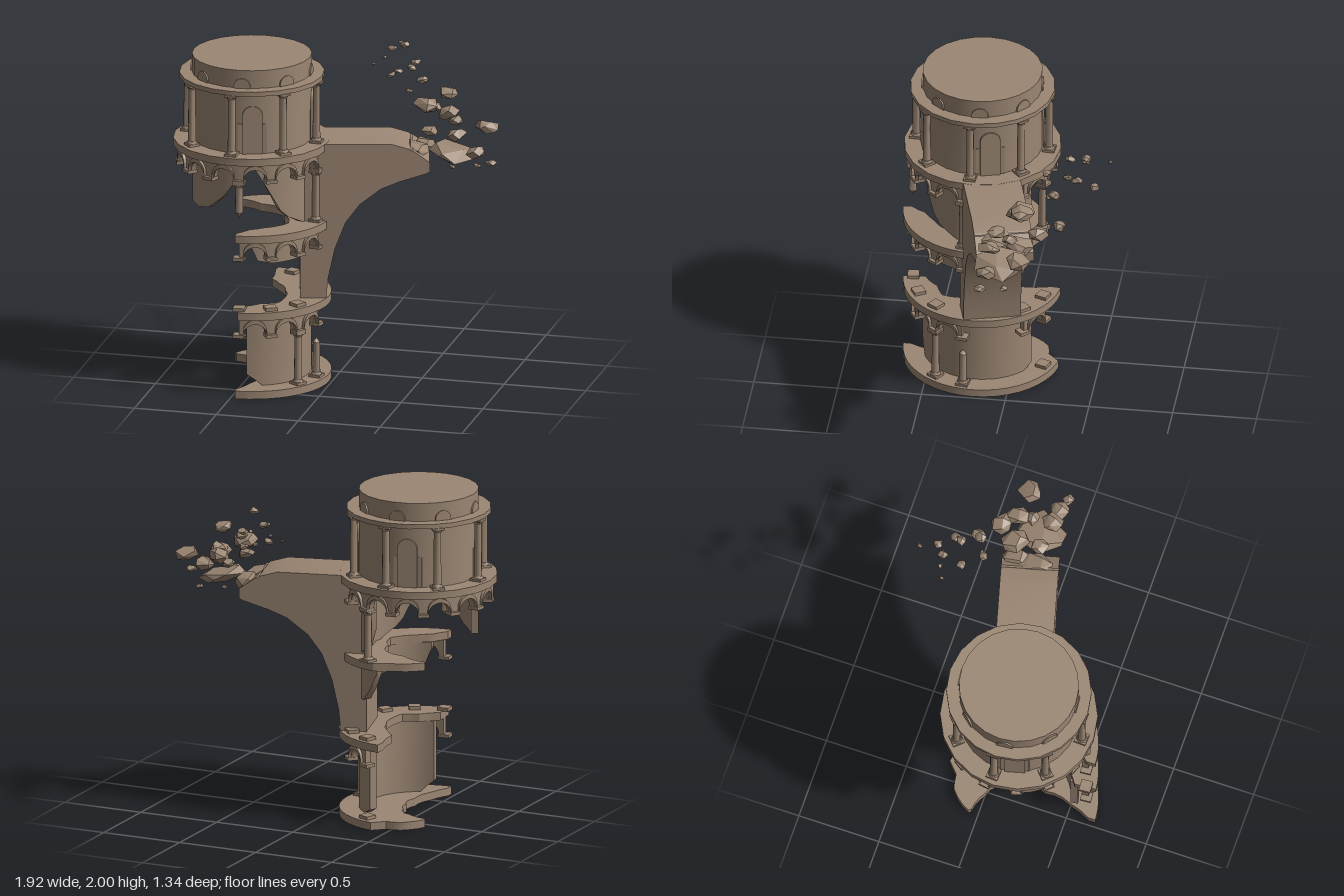
import * as THREE from 'three';
import { toCreasedNormals } from 'three/addons/utils/BufferGeometryUtils.js';
import { ConvexGeometry } from 'three/addons/geometries/ConvexGeometry.js';

const stone = new THREE.MeshStandardMaterial({ color: 0x9b8673 });
stone.name = 'weatheredStone';
const RAD = Math.PI / 180;
const BAY = 360 / 14; // angle between arcade columns
const FIRST = 4; // angle of the first arcade column, measured from the front towards +x

function add(parent, name, geo) {
  const mesh = new THREE.Mesh(geo, stone);
  mesh.name = name;
  parent.add(mesh);
  return mesh;
}

// Sweeps a box section round the tower axis; each row is [angle, innerR, outerR, bottom, top]
function sweep(rows) {
  const fine = [rows[0]];
  for (let k = 1; k < rows.length; k++) {
    const a = rows[k - 1], b = rows[k];
    const n = Math.max(1, Math.ceil((b[0] - a[0]) / 9));
    for (let i = 1; i <= n; i++) fine.push(a.map((v, j) => v + (b[j] - v) * i / n));
  }
  const sections = fine.map(([ang, r0, r1, y0, y1]) => {
    const s = Math.sin(ang * RAD), c = Math.cos(ang * RAD);
    return [[r0, y0], [r1, y0], [r1, y1], [r0, y1]].map(([r, y]) => [r * s, y, r * c]);
  });
  const pos = [];
  const quad = (a, b, c, d) => pos.push(...a, ...b, ...c, ...a, ...c, ...d);
  for (let k = 1; k < sections.length; k++) {
    const p = sections[k - 1], q = sections[k];
    for (let i = 0; i < 4; i++) {
      const j = (i + 1) % 4;
      quad(p[i], q[i], q[j], p[j]);
    }
  }
  quad(...sections[0]);
  quad(...sections[sections.length - 1].slice().reverse());
  const geo = new THREE.BufferGeometry();
  geo.setAttribute('position', new THREE.Float32BufferAttribute(pos, 3));
  return toCreasedNormals(geo, 0.5);
}

const disc = (r, y0, y1, sides) =>
  toCreasedNormals(new THREE.CylinderGeometry(r, r, y1 - y0, sides).translate(0, (y0 + y1) / 2, 0), 0.6);

// Places a group at an angle and radius, with its +z pointing outwards
function radial(parent, name, angle, r) {
  const g = new THREE.Group();
  g.name = name;
  g.rotation.y = angle * RAD;
  g.position.set(r * Math.sin(angle * RAD), 0, r * Math.cos(angle * RAD));
  parent.add(g);
  return g;
}

const block = (w, y0, y1, d) => new THREE.BoxGeometry(w, y1 - y0, d).translate(0, (y0 + y1) / 2, 0);

function column(parent, angle, r, y0, y1, ends = 'both') {
  const g = radial(parent, 'column', angle, r);
  add(g, 'columnShaft', toCreasedNormals(
    new THREE.CylinderGeometry(0.021, 0.024, y1 - y0, 10).translate(0, (y0 + y1) / 2, 0), 0.7));
  if (ends !== 'top') {
    add(g, 'columnPlinth', block(0.072, y0, y0 + 0.015, 0.072));
    add(g, 'columnBase', new THREE.CylinderGeometry(0.027, 0.033, 0.015, 10).translate(0, y0 + 0.022, 0));
  } else add(g, 'brokenTip', new THREE.ConeGeometry(0.024, 0.03, 7).rotateX(Math.PI).translate(0, y0 - 0.015, 0));
  if (ends !== 'bottom') {
    add(g, 'columnNeck', new THREE.CylinderGeometry(0.034, 0.023, 0.02, 10).translate(0, y1 - 0.022, 0));
    add(g, 'columnCapital', block(0.072, y1 - 0.013, y1, 0.065));
  } else add(g, 'brokenTip', new THREE.ConeGeometry(0.022, 0.03, 7).translate(0, y1 + 0.015, 0));
}

// Arches hanging below a slab, from column number i0 to i1
function arcade(parent, yTop, i0, i1) {
  const spring = yTop - 0.105;
  for (let i = i0; i < i1; i++) {
    const mid = FIRST + (i + 0.5) * BAY;
    const spandrel = [[mid - BAY / 2, 0.385, 0.425, spring, yTop]];
    const moulding = [];
    for (let k = 0; k <= 10; k++) {
      const c = -Math.cos(Math.PI * k / 10), s = Math.sin(Math.PI * k / 10);
      spandrel.push([mid + 8.6 * c, 0.385, 0.425, spring + 0.075 * s, yTop]);
      moulding.push([mid + 9.4 * c, 0.42, 0.443, spring + 0.072 * s, spring + 0.072 * s + 0.026]);
    }
    spandrel.push([mid + BAY / 2, 0.385, 0.425, spring, yTop]);
    add(parent, 'arch', sweep(spandrel));
    add(parent, 'archMoulding', sweep(moulding));
  }
  for (let i = i0; i <= i1; i++) {
    add(radial(parent, 'archFoot', FIRST + i * BAY, 0.415), 'impost', block(0.068, yTop - 0.12, yTop - 0.1, 0.065));
  }
}

// Thin arched plate lying on the drum
function archPlate(parent, name, angle, w, y0, spring, r) {
  const s = new THREE.Shape();
  s.moveTo(-w / 2, y0);
  s.lineTo(w / 2, y0);
  s.lineTo(w / 2, spring);
  s.absarc(0, spring, w / 2, 0, Math.PI, false);
  const geo = new THREE.ExtrudeGeometry(s, { depth: 0.02, bevelEnabled: false, curveSegments: 10 });
  add(radial(parent, name, angle, r), name + 'Plate', geo);
}

function buildTower() {
  const t = new THREE.Group();
  t.name = 'tower';
  // Floors: three broken crescents, given as [angle, innerR, outerR], and one whole disc
  const slab = (name, y, rows) => add(t, name, sweep(rows.map(([a, r0, r1 = 0.472]) => [a, r0, r1, y, y + 0.048])));
  slab('groundFloor', 0, [[2, 0.43], [12, 0.31], [35, 0.16], [90, 0.08], [150, 0.11],
    [169, 0.16], [177, 0.18, 0.4], [190, 0.2, 0.39], [213, 0.29, 0.31]]);
  slab('firstFloor', 0.484, [[4, 0.34], [25, 0.28], [45, 0.3], [65, 0.25], [100, 0.2], [140, 0.2],
    [165, 0.24], [175, 0.42]]);
  slab('secondFloor', 0.962, [[2, 0.42], [12, 0.34], [28, 0.31], [60, 0.3], [90, 0.2], [125, 0.2, 0.45],
    [166, 0.18, 0.42], [177, 0.18, 0.37], [213, 0.29, 0.31]]);
  add(t, 'thirdFloor', disc(0.467, 1.44, 1.485, 20));

  // Remains of the inner wall: the top height, then [angle, bottom] along the broken edge
  const wall = (top, edge) => add(t, 'brokenWall', sweep(edge.map(([a, y0]) => [a, 0.31, 0.355, y0, top])));
  wall(0.485, [[9, 0.12], [16, 0.09], [25, 0.045], [140, 0.045], [152, 0.08]]);
  wall(0.965, [[12, 0.93], [20, 0.82], [35, 0.8], [80, 0.8]]);
  wall(0.965, [[125, 0.72], [140, 0.74], [152, 0.82], [162, 0.93]]);
  wall(1.445, [[14, 1.42], [23, 1.33], [43, 1.12], [52, 1.07], [75, 1.005], [130, 1.005], [142, 1.05], [152, 1.18]]);
  wall(1.445, [[-68, 1.11], [-48, 1.1], [-32, 1.12], [-15, 1.2], [2, 1.34]]);

  // Arcades and the columns that still stand
  arcade(t, 0.486, 0, 3);
  arcade(t, 0.486, 5, 6);
  arcade(t, 0.964, 0, 3);
  arcade(t, 1.442, -9, 3);
  const at = (i) => FIRST + i * BAY;
  column(t, at(2), 0.415, 0.048, 0.37);
  column(t, at(3), 0.415, 0.048, 0.26, 'bottom');
  column(t, at(3), 0.412, 1.01, 1.325);
  column(t, at(6), 0.405, 1.01, 1.325);
  column(t, at(0), 0.415, 1.14, 1.325, 'top');
  for (const [i, y] of [[0, 0.53], [1, 0.53], [2, 0.53], [5, 0.53], [6, 0.53], [6, 0.046]]) {
    add(radial(t, 'barePlinth', at(i), 0.41), 'plinth', block(0.07, y, y + 0.022, 0.07));
  }

  // Upper drum with its ring, columns, doorways and crown arches
  add(t, 'drum', disc(0.355, 1.485, 2, 24));
  add(t, 'drumRing', disc(0.43, 1.862, 1.89, 20));
  for (let i = 0; i < 8; i++) {
    column(t, -3 + 45 * i, 0.4, 1.485, 1.863);
    archPlate(t, 'crownArch', 5 + 45 * i, 0.1, 1.88, 1.9, 0.34);
  }
  for (let i = 0; i < 4; i++) {
    archPlate(t, 'doorway', 15 + 90 * i, 0.12, 1.485, 1.72, 0.342);
    add(radial(t, 'doorJambs', 15 + 90 * i, 0.34), 'doorSurround', block(0.17, 1.485, 1.67, 0.02));
  }
  return t;
}

// Flying half-arch that carries the broken walkway
function buildBridge() {
  const g = new THREE.Group();
  g.name = 'bridge';
  g.rotation.y = 15 * RAD;
  const extrude = (pts) => toCreasedNormals(new THREE.ExtrudeGeometry(
    new THREE.Shape(pts.map(([x, y]) => new THREE.Vector2(x, y))),
    { depth: 0.342, bevelEnabled: false }).translate(0, 0, -0.171), 0.4);
  add(g, 'bridgeArch', extrude([[0.283, 0.53], [0.437, 0.53], [0.45, 0.66], [0.49, 0.84], [0.553, 1.0],
    [0.636, 1.11], [0.76, 1.205], [0.87, 1.25], [1.03, 1.3], [1.05, 1.31], [1.05, 1.37], [0.95, 1.442],
    [0.283, 1.442]]));
  add(g, 'bridgeDeck', extrude([[0.3, 1.44], [0.94, 1.44], [0.93, 1.452], [0.82, 1.484], [0.3, 1.484]]));
  return g;
}

// Floating rubble: faceted lumps whose proportions and tilt come from a seeded rule
function buildRubble() {
  const g = new THREE.Group();
  g.name = 'rubble';
  let seed = 90011;
  const rnd = () => (seed = (seed * 16807) % 2147483647) / 2147483647;
  const lump = (name, [x, y, z], w, h, d, tilt) => {
    const pts = [];
    for (let i = 0; i < 13; i++) {
      const a = i * 2.4 + rnd(), v = 1 - 2 * (i + 0.5) / 13;
      const q = Math.sqrt(1 - v * v), k = 0.5 + 0.1 * rnd();
      pts.push(new THREE.Vector3(q * Math.cos(a) * k * w, v * k * h, q * Math.sin(a) * k * d));
    }
    const m = add(g, name, new ConvexGeometry(pts));
    m.position.set(x, y, z);
    m.rotation.z = tilt;
  };
  // [x, y, z, size]
  const stones = [
    [0.29, 1.92, -0.43, 0.06], [0.19, 1.865, -0.51, 0.055], [0.2, 1.86, -0.655, 0.03], [0.28, 1.8, -0.285, 0.055],
    [0.34, 1.8, -0.475, 0.06], [0.29, 1.735, -0.57, 0.06], [0.21, 1.735, -0.4, 0.055], [0.41, 1.735, -0.345, 0.07],
    [0.34, 1.675, -0.31, 0.045], [0.48, 1.565, -0.39, 0.08], [0.61, 1.725, -0.18, 0.13], [0.48, 1.65, -0.155, 0.15],
    [0.59, 1.57, -0.28, 0.13], [0.85, 1.53, -0.19, 0.14], [0.71, 1.525, 0, 0.11], [0.54, 1.53, -0.02, 0.1],
    [0.83, 1.425, 0, 0.115], [0.925, 1.375, 0.025, 0.065], [0.81, 1.31, -0.1, 0.045], [0.67, 1.31, -0.05, 0.035],
    [0.14, 1.805, -0.51, 0.03], [0.08, 1.77, -0.48, 0.025], [0.68, 1.575, -0.12, 0.085],
  ];
  for (const [x, y, z, s] of stones) {
    lump('rubbleChunk', [x, y, z], s, s * (0.5 + 0.2 * rnd()), s * (0.9 + 0.2 * rnd()), 0.7 * rnd() - 0.35);
  }
  lump('fallenSlab', [0.67, 1.395, -0.06], 0.3, 0.08, 0.28, -0.25);
  lump('brokenBridgeEnd', [0.47, 1.42, -0.02], 0.14, 0.07, 0.22, -0.3);
  lump('brokenBridgeEnd', [0.47, 1.4, -0.14], 0.14, 0.1, 0.16, -0.3);
  return g;
}

export function createModel() {
  const model = new THREE.Group();
  model.name = 'ruinedTower';
  const tower = buildTower();
  tower.add(buildBridge());
  tower.position.set(-0.488, 0, 0.2);
  model.add(tower, buildRubble());
  return model;
}
